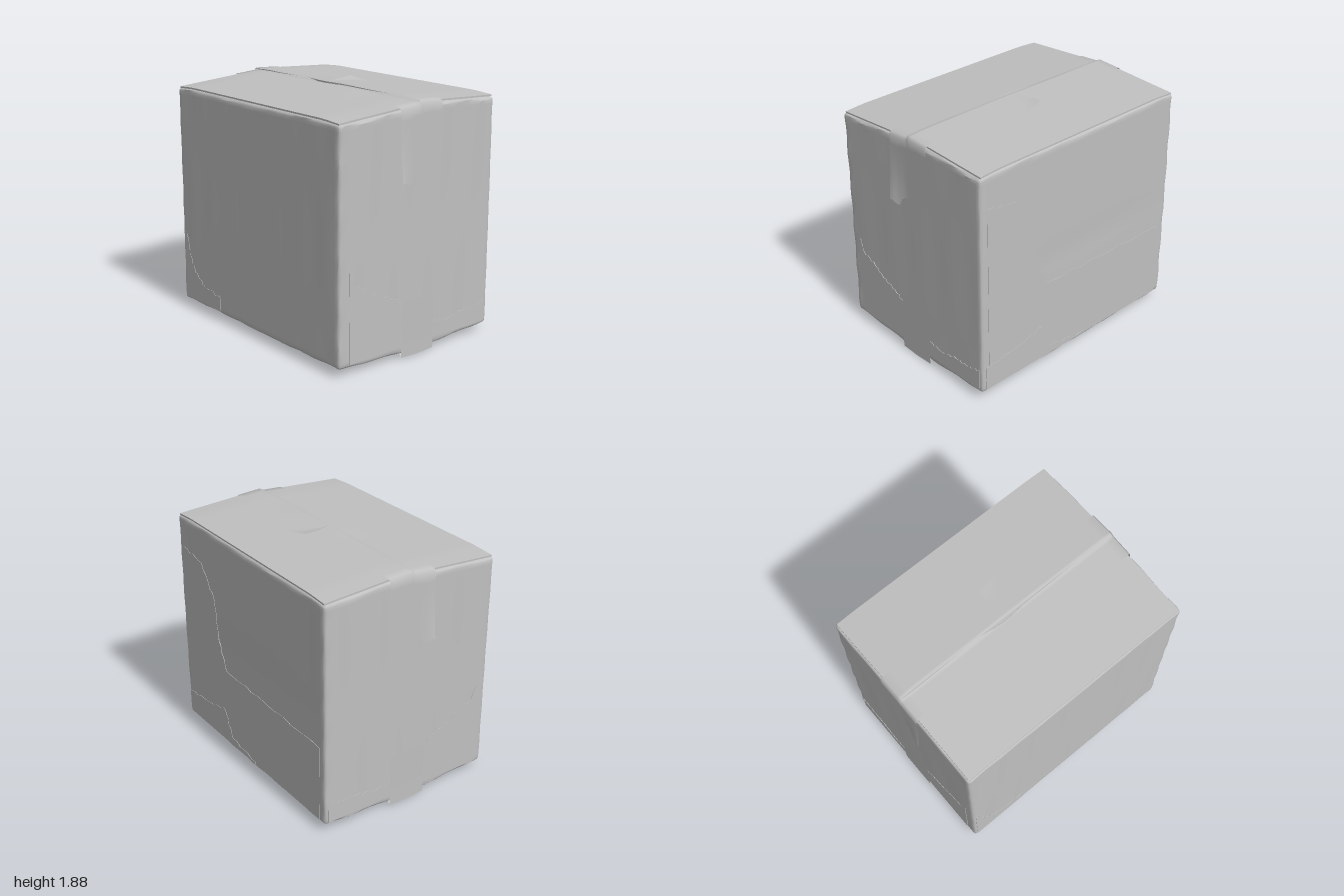
import * as THREE from 'three';
import { mergeVertices, toCreasedNormals } from 'three/addons/utils/BufferGeometryUtils.js';

const HX = 0.965, HZ = 0.732, R = 0.022;
const { clamp, lerp, smoothstep } = THREE.MathUtils;

const cardboard = new THREE.MeshStandardMaterial({ color: 0xc0c0c0, side: THREE.DoubleSide });
cardboard.name = 'grey cardboard';

// Heights of the sagging base and of the two pitched lid flaps
const baseY = (z) => 0.04 - 0.034 * (1 - Math.abs(z) / HZ);
function lidY(x, z) {
  const t = 1 - Math.min(1, Math.abs(z) / HZ);
  const y = z > 0.01 ? lerp(1.775, 1.828, t) : lerp(1.806, 1.844, t);
  return y - 0.012 * smoothstep(Math.abs(x), 0.75, 1) + 0.003 * Math.sin(x * 5 + 1) * t;
}
const seamZ = (x) => 0.004 + 0.02 * Math.exp(-((x + 0.06) ** 2) / 0.02) + 0.005 * Math.sin(x * 6);

// Moves every vertex by a rule and rebuilds the normals
function warp(geo, rule, crease = 0.6) {
  const p = geo.attributes.position, v = new THREE.Vector3();
  for (let i = 0; i < p.count; i++) {
    rule(v.fromBufferAttribute(p, i), i);
    p.setXYZ(i, v.x, v.y, v.z);
  }
  geo.deleteAttribute('uv');
  geo.deleteAttribute('normal');
  return toCreasedNormals(mergeVertices(geo, 1e-5), crease);
}

// Carton body: rounded edges, slightly crumpled corners and faint wrinkles
function bodyGeometry() {
  const half = new THREE.Vector3(HX, 0.88, HZ);
  const n = new THREE.Vector3();
  return warp(new THREE.BoxGeometry(2, 2, 2, 28, 28, 28), (v) => {
    for (const k of ['x', 'y', 'z']) {
      v[k] = Math.sin(v[k] * Math.PI / 2) * half[k];
      const inner = clamp(v[k], R - half[k], half[k] - R);
      n[k] = v[k] - inner;
      v[k] = inner;
    }
    const edges = ['x', 'y', 'z'].filter((k) => Math.abs(n[k]) > 1e-4).length;
    v.addScaledVector(n.normalize(), R);
    const { x, y, z } = v;
    const crumple = edges > 1 ? 0.005 * Math.sin(y * 19 + x * 7) * Math.cos(z * 17 + x * 11) : 0;
    const ripple = 0.0012 * Math.sin(x * 23 + z * 19) * Math.cos(y * 3);
    v.addScaledVector(n, crumple + ripple);
    v.y = lerp(baseY(z), lidY(x, z) - 0.014, (v.y + half.y) / (2 * half.y));
    // soft horizontal dent across the back
    if (z < -0.7) v.z += 0.006 * Math.exp(-((v.y - 0.9) ** 2) / 0.006) * (1 - x * x);
  });
}

// One lid flap: a thin slab from the wall to the middle seam
function flapGeometry(side) {
  return warp(new THREE.BoxGeometry(1, 1, 1, 30, 1, 10), (v) => {
    const x = v.x * 1.9;
    const z = lerp(side > 0 ? seamZ(x) + 0.007 : seamZ(x), side * (HZ - 0.008), side * v.z + 0.5);
    const y = lidY(x, side > 0 ? Math.max(z, 0.011) : Math.min(z, 0.01));
    v.set(x, y - (v.y > 0 ? 0 : 0.012), z);
  });
}

// Tape running over the lid or base and down both side walls, with torn ends
function tapeGeometry(z0, z1, coverY, endY, lift) {
  const side = 8, nx = 44, nz = 20, out = HX + 0.007;
  return warp(new THREE.PlaneGeometry(1, 1, nx, nz), (v, i) => {
    const c = i % (nx + 1), z = lerp(z0, z1, Math.floor(i / (nx + 1)) / nz);
    const fromEnd = Math.min(c, nx - c), s = c < nx / 2 ? -1 : 1;
    if (fromEnd < side) {
      const t = fromEnd / (side - 1);
      const edge = coverY(s * HX, z) + (lift ? -R : R);
      v.set(s * (out + lift(z) * (1 - t) ** 2), lerp(endY(z), edge, t), z);
    } else {
      const x = lerp(-HX + 0.012, HX - 0.012, (c - side) / (nx - 2 * side));
      v.set(x, coverY(x, z), z);
    }
  }, 0.9);
}

// Torn paper layer: a thin plate whose top edge follows a ragged line
function tornGeometry(line, floor) {
  const pts = [];
  for (let i = 0; i < line.length - 1; i++) {
    for (let k = 0; k < 6; k++) {
      const j = i * 6 + k, t = k / 6;
      const rag = k ? 0.011 * Math.sin(j * 2.4) : 0;
      pts.push(new THREE.Vector2(lerp(line[i][0], line[i + 1][0], t) + rag * 0.5,
        lerp(line[i][1], line[i + 1][1], t) + rag));
    }
  }
  const a = line[0], b = line[line.length - 1];
  pts.push(new THREE.Vector2(...b), new THREE.Vector2(b[0], floor), new THREE.Vector2(a[0], floor));
  return new THREE.ExtrudeGeometry(new THREE.Shape(pts), { depth: 0.005, bevelEnabled: false });
}

export function createModel() {
  const box = new THREE.Group();
  box.name = 'cardboardBox';
  const add = (name, geo) => {
    const mesh = new THREE.Mesh(geo, cardboard);
    mesh.name = name;
    box.add(mesh);
    return mesh;
  };

  add('cartonBody', bodyGeometry());
  add('frontFlap', flapGeometry(1));
  add('backFlap', flapGeometry(-1));

  // Top tape hangs down the sides, its front corner peeling outwards
  add('topTape', tapeGeometry(-0.2, 0.19, (x, z) => lidY(x, z) + 0.005,
    (z) => 1.33 - 0.2 * z + 0.018 * Math.sin(z * 45) - (z > 0.09 ? 0.03 : 0),
    (z) => 0.028 * smoothstep(z, 0.02, 0.19)));
  // Bottom tape
  add('bottomTape', tapeGeometry(-0.155, 0.155, (x, z) => baseY(z) - 0.006,
    (z) => 0.405 + 0.006 * Math.sin(z * 60), () => 0.001));

  // Torn layers on both side walls
  const frontTear = [[0.64, 0.73], [0.6, 0.63], [0.47, 0.57], [0.37, 0.5], [0.24, 0.46], [0.15, 0.4]];
  const backTear = [[-0.155, 0.19], [-0.3, 0.17], [-0.45, 0.2], [-0.58, 0.2], [-0.7, 0.23]];
  for (const s of [1, -1]) {
    for (const [name, line] of [['frontSideTear', frontTear], ['backSideTear', backTear]]) {
      const mesh = add(name, tornGeometry(line.map(([z, y]) => [-s * z, y]), 0.06));
      mesh.rotation.y = s * Math.PI / 2;
      mesh.position.x = s * (HX - 0.001);
    }
  }

  // Torn layer at the lower corner of the front wall
  const corner = add('frontCornerTear', tornGeometry(
    [[-0.94, 0.6], [-0.89, 0.56], [-0.87, 0.43], [-0.8, 0.29], [-0.68, 0.21], [-0.46, 0.17]], 0.06));
  corner.position.z = HZ - 0.002;

  // Long torn layers on the back wall
  const tears = [
    [[-0.9, 1.54], [-0.64, 1.5], [-0.47, 1.25], [-0.43, 0.92], [-0.33, 0.7], [0.2, 0.69], [0.9, 0.67]],
    [[-0.93, 0.25], [-0.6, 0.29], [-0.38, 0.34], [-0.28, 0.12], [0.05, 0.08]],
  ];
  tears.forEach((line, i) => {
    const mesh = add('backTear', tornGeometry(line, 0.06));
    mesh.rotation.y = Math.PI;
    mesh.position.z = -HZ + 0.002 - i * 0.003;
  });

  // Small curled rip in the lid
  add('lidRip', warp(new THREE.PlaneGeometry(1, 1, 6, 8), (v) => {
    const a = v.x + 0.5, t = v.y + 0.5;
    const z = lerp(-0.01, -0.25, t) - 0.05 * a * t;
    const x = lerp(-0.01, -0.055, Math.min(1, t * 1.5)) + a * t * 0.19;
    v.set(x, lidY(x, z) + 0.004 + 0.022 * t * (1 - a) ** 2, z);
  }));

  return box;
}
